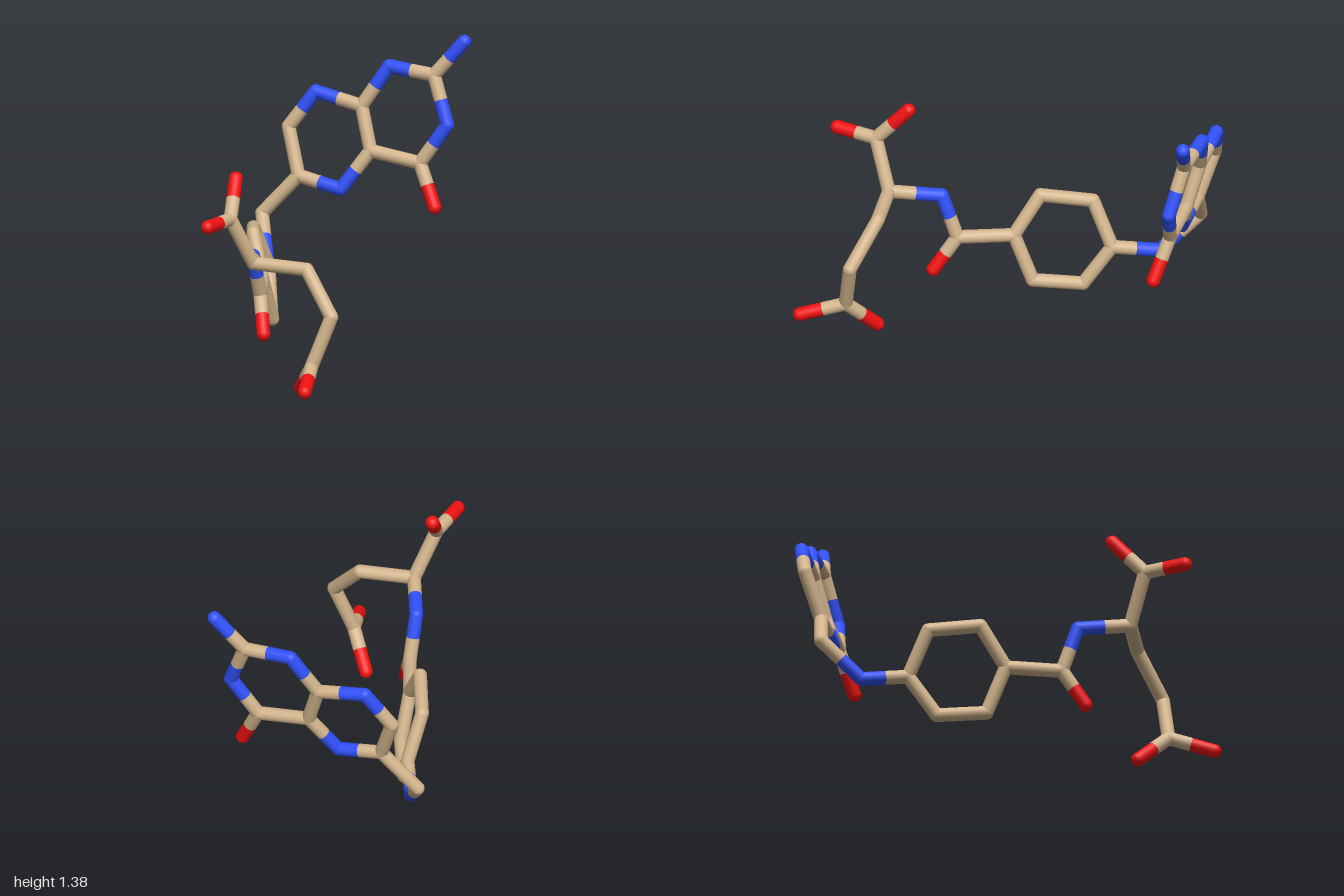
import * as THREE from 'three';

const RADIUS = 0.033;

const materials = {
  C: new THREE.MeshStandardMaterial({ color: 0xd2b48c }),
  N: new THREE.MeshStandardMaterial({ color: 0x3050f8 }),
  O: new THREE.MeshStandardMaterial({ color: 0xf01010 }),
};

// Each part lists its atoms: name -> [element, x, y, z]
const parts = {
  doubleRing: {
    amine: ['N', -0.01, 1.345, -0.967],
    c2: ['C', -0.12, 1.175, -0.873],
    n1: ['N', -0.34, 1.19, -0.785],
    n3: ['N', -0.02, 0.95, -0.868],
    c4: ['C', -0.12, 0.758, -0.783],
    ketone: ['O', -0.01, 0.563, -0.777],
    c4a: ['C', -0.353, 0.79, -0.677],
    c8a: ['C', -0.43, 0.993, -0.69],
    n8: ['N', -0.65, 1.037, -0.595],
    c7: ['C', -0.74, 0.862, -0.503],
    c6: ['C', -0.645, 0.643, -0.48],
    n5: ['N', -0.44, 0.603, -0.565],
  },
  linker: {
    c9: ['C', -0.783, 0.45, -0.372],
    n10: ['N', -0.62, 0.275, -0.257],
  },
  singleRing: {
    r1: ['C', -0.447, 0.308, -0.11],
    r2: ['C', -0.433, 0.525, 0.0],
    r3: ['C', -0.247, 0.567, 0.17],
    r4: ['C', -0.122, 0.38, 0.225],
    r5: ['C', -0.153, 0.157, 0.133],
    r6: ['C', -0.335, 0.123, -0.025],
  },
  amideLink: {
    ac: ['C', 0.07, 0.377, 0.413],
    ao: ['O', 0.167, 0.215, 0.48],
    an: ['N', 0.1, 0.59, 0.485],
  },
  acidTail: {
    ca: ['C', 0.288, 0.625, 0.655],
    cb: ['C', 0.515, 0.615, 0.518],
    cg: ['C', 0.7, 0.42, 0.528],
    cd: ['C', 0.645, 0.18, 0.605],
    oe1: ['O', 0.495, 0.033, 0.538],
    oe2: ['O', 0.783, 0.115, 0.775],
    ct: ['C', 0.253, 0.857, 0.77],
    ot1: ['O', 0.157, 1.015, 0.648],
    ot2: ['O', 0.31, 0.866, 0.967],
  },
};

// Chains of bonded atoms
const chains = [
  'amine c2 n1 c8a c4a c4 n3 c2', 'c4 ketone', 'c8a n8 c7 c6 n5 c4a',
  'c6 c9 n10 r1', 'r1 r2 r3 r4 r5 r6 r1',
  'r4 ac ao', 'ac an ca', 'ca cb cg cd oe1', 'cd oe2', 'ca ct ot1', 'ct ot2',
];

const ballGeometry = new THREE.SphereGeometry(RADIUS, 20, 14);
const UP = new THREE.Vector3(0, 1, 0);

// Open cylinder from a to b
function stick(a, b, material) {
  const dir = b.clone().sub(a);
  const length = dir.length();
  const mesh = new THREE.Mesh(
    new THREE.CylinderGeometry(RADIUS, RADIUS, length, 20, 1, true), material);
  mesh.position.copy(a).add(b).multiplyScalar(0.5);
  mesh.quaternion.setFromUnitVectors(UP, dir.divideScalar(length));
  mesh.name = 'halfBond';
  return mesh;
}

export function createModel() {
  const model = new THREE.Group();
  model.name = 'stickMolecule';
  const atoms = {};

  // Rounded joints and tips
  for (const [partName, list] of Object.entries(parts)) {
    const group = new THREE.Group();
    group.name = partName;
    model.add(group);
    for (const [name, [element, x, y, z]] of Object.entries(list)) {
      const joint = new THREE.Mesh(ballGeometry, materials[element]);
      joint.position.set(x, y, z);
      joint.name = 'joint';
      group.add(joint);
      atoms[name] = { position: joint.position, material: materials[element], group };
    }
  }

  // Bonds, each half in the colour of its own atom
  for (const chain of chains) {
    const names = chain.split(' ');
    for (let i = 1; i < names.length; i++) {
      const a = atoms[names[i - 1]], b = atoms[names[i]];
      const middle = a.position.clone().lerp(b.position, 0.5);
      if (a.material === b.material) {
        a.group.add(stick(a.position, b.position, a.material));
      } else {
        a.group.add(stick(a.position, middle, a.material));
        b.group.add(stick(middle, b.position, b.material));
      }
    }
  }
  return model;
}
